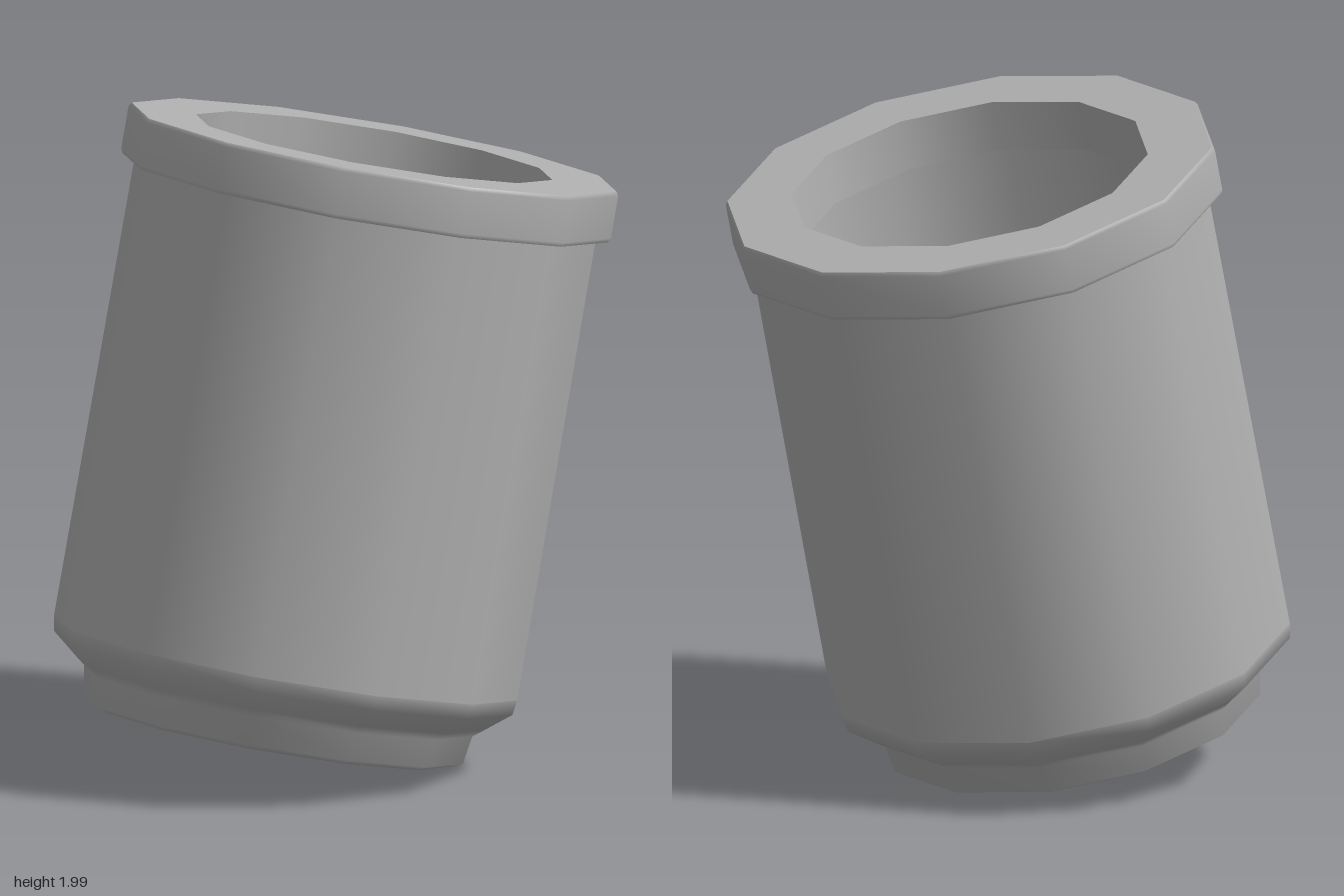
import * as THREE from 'three';

const SIDES = 12;
const PHI_START = THREE.MathUtils.degToRad(-5.5);

export function createModel() {
  const clay = new THREE.MeshStandardMaterial({ color: 0xb0b0b0 });
  clay.name = 'plain grey';

  const model = new THREE.Group();
  model.name = 'tiltedJar';

  // Everything is turned on the jar's own axis, which leans to +x
  const jar = new THREE.Group();
  jar.name = 'jar';
  jar.position.set(-0.21, 0.115, 0.015);
  jar.rotation.set(-0.01, 0, -0.199);
  model.add(jar);

  // Each profile is [radius, height], running up the outside and down the inside;
  // a new part starts wherever the surface has a hard edge.
  const turn = (name, profile) => {
    const points = profile.map(([r, y]) => new THREE.Vector2(r, y));
    const mesh = new THREE.Mesh(new THREE.LatheGeometry(points, SIDES, PHI_START), clay);
    mesh.name = name;
    jar.add(mesh);
  };

  // Underside and stepped foot
  turn('base', [[0, 0], [0.54, 0]]);
  turn('foot', [[0.54, 0], [0.574, 0.015], [0.588, 0.1], [0.62, 0.125], [0.695, 0.185], [0.702, 0.23]]);

  // Long straight wall
  turn('body', [[0.702, 0.23], [0.698, 1.64]]);

  // Heavy collar around the mouth
  turn('collarUnderside', [[0.698, 1.64], [0.735, 1.622]]);
  turn('collar', [[0.735, 1.622], [0.742, 1.635], [0.742, 1.763], [0.735, 1.775]]);
  turn('collarTop', [[0.735, 1.775], [0.54, 1.775]]);
  turn('mouth', [[0.54, 1.775], [0.54, 1.62]]);
  turn('collarInnerUnderside', [[0.54, 1.62], [0.665, 1.62]]);

  // Hollow inside, following the outer shape
  turn('innerWall', [[0.665, 1.62], [0.665, 0.25]]);
  turn('innerFoot', [[0.665, 0.25], [0.64, 0.2], [0.56, 0.13], [0.5, 0.06], [0.46, 0.04], [0.2, 0.03], [0, 0.03]]);

  return model;
}
